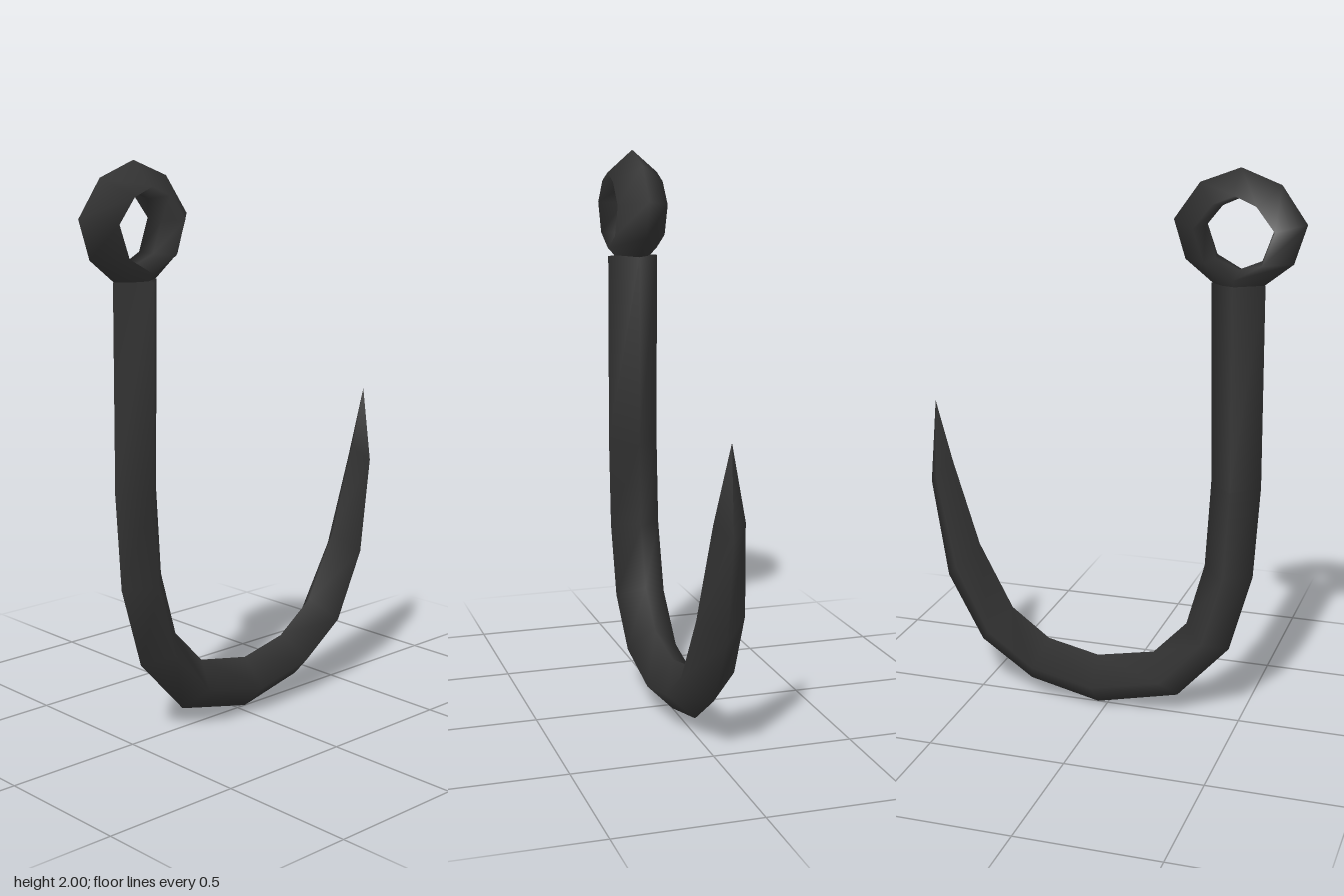
import * as THREE from 'three';

const material = new THREE.MeshStandardMaterial({ color: 0x333333 });

// Skins four-sided sections. Each station is
// [outer z, outer y, inner z, inner y, half width, side position from outer to inner]
function loft(name, stations, closed) {
  const positions = [], index = [], n = stations.length;
  for (const [oz, oy, iz, iy, w, t = 0.5] of stations) {
    const mz = oz + (iz - oz) * t, my = oy + (iy - oy) * t;
    positions.push(0, oy, oz, w, my, mz, 0, iy, iz, -w, my, mz);
  }
  for (let i = 0; i < (closed ? n : n - 1); i++) {
    const a = i * 4, b = ((i + 1) % n) * 4;
    for (let j = 0; j < 4; j++) {
      const k = (j + 1) % 4;
      index.push(a + j, b + j, a + k, b + j, b + k, a + k);
    }
  }
  const geometry = new THREE.BufferGeometry();
  geometry.setAttribute('position', new THREE.Float32BufferAttribute(positions, 3));
  geometry.setIndex(index);
  geometry.computeVertexNormals();
  const mesh = new THREE.Mesh(geometry, material);
  mesh.name = name;
  return mesh;
}

export function createModel() {
  const group = new THREE.Group();
  group.name = 'fishHook';

  // Shank, bend and tapering point in one continuous sweep
  group.add(loft('shankAndPoint', [
    [0.46, 1.62, 0.46, 1.62, 0],
    [0.554, 1.61, 0.368, 1.61, 0.095],
    [0.559, 0.90, 0.381, 0.90, 0.095],
    [0.538, 0.564, 0.363, 0.59, 0.095],
    [0.458, 0.278, 0.299, 0.358, 0.095],
    [0.268, 0.07, 0.177, 0.23, 0.095],
    [-0.037, 0, -0.037, 0.188, 0.095],
    [-0.30, 0.06, -0.23, 0.23, 0.095],
    [-0.495, 0.193, -0.373, 0.336, 0.095],
    [-0.628, 0.437, -0.50, 0.575, 0.085],
    [-0.686, 0.803, -0.60, 0.893, 0.055],
    [-0.66, 1.115, -0.66, 1.115, 0],
  ], false));

  // Eight-sided eye: half its stations, mirrored about the shank's axis
  const c = 0.462, w = 0.095, t = 0.82;
  const half = [[0.139, 1.947, 0.06, 1.873], [0.228, 1.82, 0.118, 1.80], [0.186, 1.687, 0.079, 1.693]];
  const side = (s) => half.map(([oz, oy, iz, iy]) => [c + s * oz, oy, c + s * iz, iy, w, t]);
  group.add(loft('eye', [
    [c, 2, c, 1.90, w, t],
    ...side(1),
    [c, 1.54, c, 1.66, w, t],
    ...side(-1).reverse(),
  ], true));

  return group;
}
